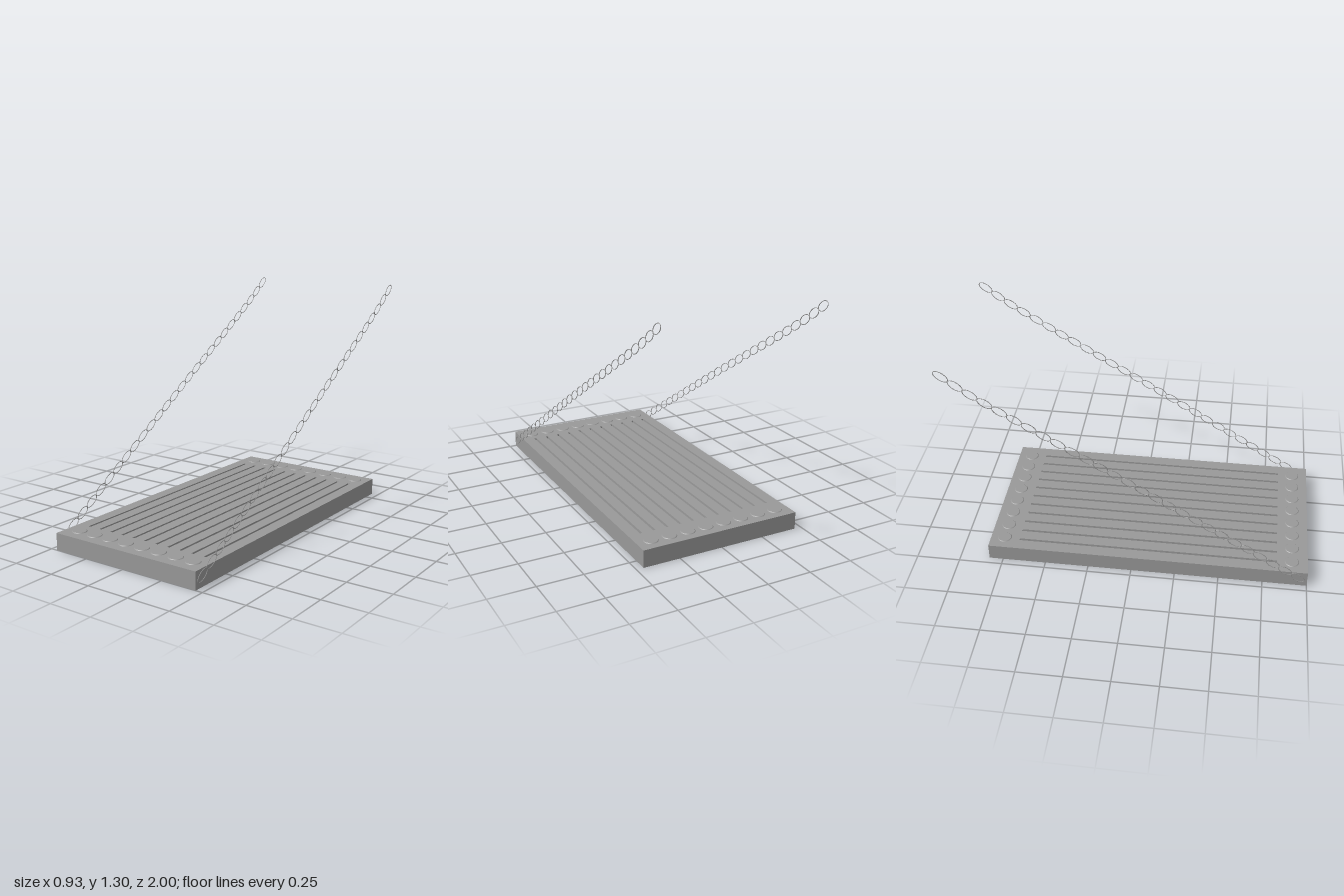
import * as THREE from 'three';

const material = new THREE.MeshStandardMaterial({ color: 0x999999 });

function addMesh(parent, name, geometry, x = 0, y = 0, z = 0) {
  const mesh = new THREE.Mesh(geometry, material);
  mesh.name = name;
  mesh.position.set(x, y, z);
  parent.add(mesh);
  return mesh;
}

// Rectangle outline in plan; z runs against the shape's own y
function trace(path, x0, x1, z0, z1) {
  path.moveTo(x0, -z1);
  path.lineTo(x1, -z1);
  path.lineTo(x1, -z0);
  path.lineTo(x0, -z0);
  path.closePath();
  return path;
}

export function createModel() {
  const model = new THREE.Group();
  model.name = 'slattedPlatform';

  // Deck with eleven long slots cut right through
  const outline = trace(new THREE.Shape(), -0.46, 0.46, -0.83, 1);
  for (let i = -5; i <= 5; i++) {
    const x = i * 0.0772;
    outline.holes.push(trace(new THREE.Path(), x - 0.007, x + 0.007, -0.66, 0.825));
  }
  const deck = new THREE.ExtrudeGeometry(outline, { depth: 0.097, bevelEnabled: false });
  deck.rotateX(-Math.PI / 2);
  addMesh(model, 'deck', deck);

  // Rows of low round studs with sloping rims at both ends
  const stud = new THREE.CylinderGeometry(0.037, 0.041, 0.004, 24);
  for (const [row, z] of [['front', 0.91], ['back', -0.75]]) {
    for (let i = 0; i < 8; i++) {
      addMesh(model, row + 'Stud', stud, (i - 3.5) * 0.108, 0.0985, z);
    }
  }

  // One oval chain link lying in the y-z plane, long axis along z
  const points = [];
  for (let i = 0; i < 16; i++) {
    const a = (i / 16) * Math.PI * 2;
    points.push(new THREE.Vector3(0, 0.022 * Math.sin(a), 0.043 * Math.cos(a)));
  }
  const link = new THREE.TubeGeometry(new THREE.CatmullRomCurve3(points, true), 32, 0.002, 6, true);

  // A slightly sagging chain rises from each front corner to above the back
  const path = new THREE.CatmullRomCurve3([
    new THREE.Vector3(0, 0.06, 0.945),
    new THREE.Vector3(0, 0.655, 0),
    new THREE.Vector3(0, 1.16, -0.815),
    new THREE.Vector3(0, 1.265, -0.962),
  ]);
  const count = 27;
  for (const [name, x] of [['leftChain', 0.461], ['rightChain', -0.461]]) {
    const chain = new THREE.Group();
    chain.name = name;
    for (let i = 0; i < count; i++) {
      const p = path.getPointAt(i / (count - 1));
      const t = path.getTangentAt(i / (count - 1));
      addMesh(chain, 'chainLink', link, x, p.y, p.z).rotation.x = Math.atan2(t.y, -t.z);
    }
    model.add(chain);
  }
  return model;
}
